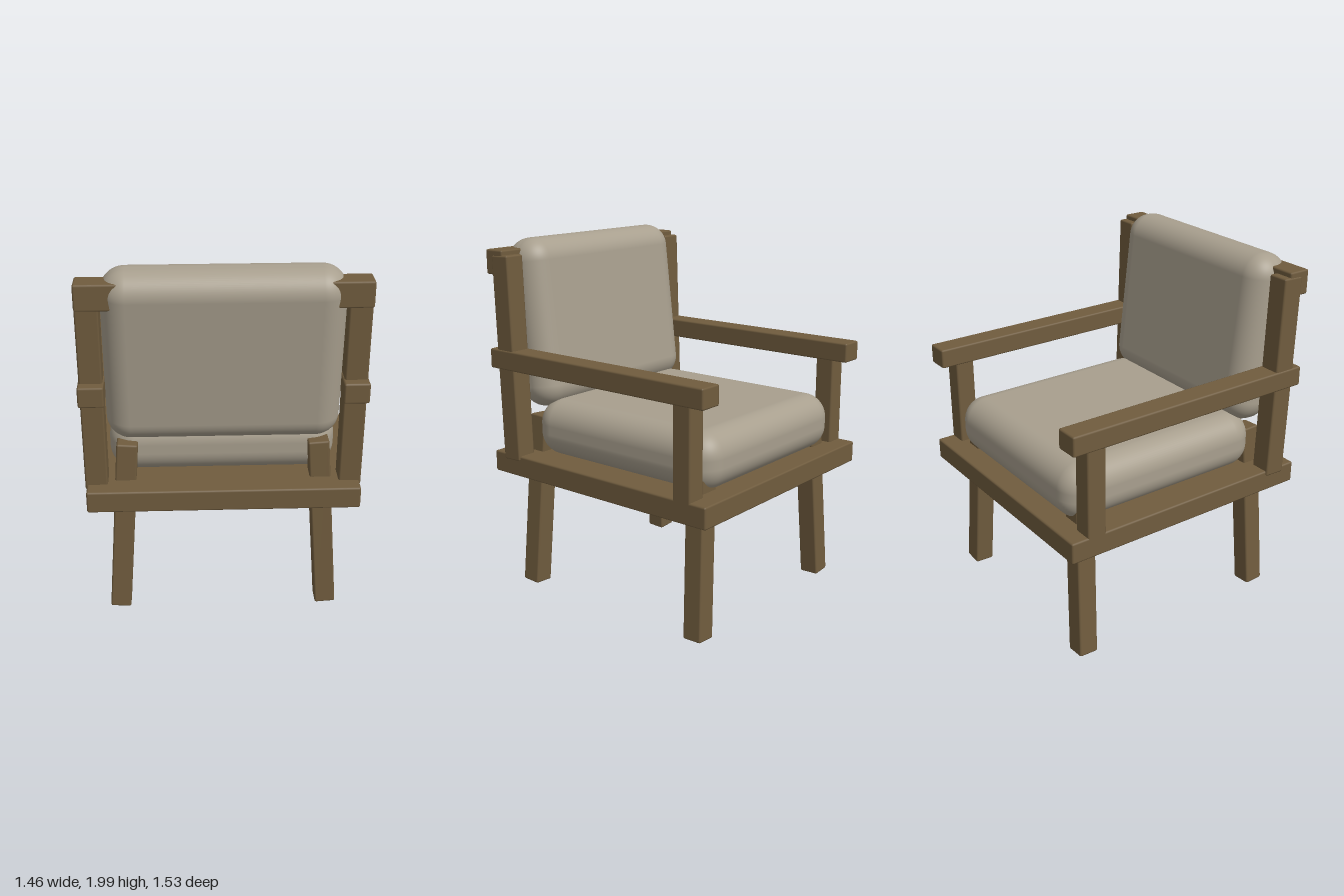
import * as THREE from 'three';
import { RoundedBoxGeometry } from 'three/addons/geometries/RoundedBoxGeometry.js';

export function createModel() {
  const chair = new THREE.Group();
  chair.name = 'armchair';

  const wood = new THREE.MeshStandardMaterial({ color: 0x705c3e });
  wood.name = 'brown wood';
  const fabric = new THREE.MeshStandardMaterial({ color: 0xa89f8e });
  fabric.name = 'beige fabric';

  function add(name, geometry, material, position, tiltX = 0, tiltZ = 0) {
    const mesh = new THREE.Mesh(geometry, material);
    mesh.name = name;
    mesh.position.set(...position);
    mesh.rotation.set(tiltX, 0, tiltZ);
    chair.add(mesh);
    return mesh;
  }
  // Timber with slightly eased edges
  const beam = (w, h, d) => new RoundedBoxGeometry(w, h, d, 1, 0.01);

  // Seat base and the top rail that runs through the back cushion
  add('seatBase', beam(1.43, 0.12, 1.5), wood, [0, 0.75, -0.013]);
  add('topRail', beam(1.44, 0.135, 0.125), wood, [0, 1.88, 0.673]);

  // Parts mirrored on both sides
  for (const [side, s] of [['left', 1], ['right', -1]]) {
    add(side + 'Armrest', beam(0.132, 0.11, 1.48), wood, [s * 0.664, 1.35, -0.015]);
    add(side + 'FrontPost', beam(0.11, 0.52, 0.11), wood, [s * 0.66, 1.05, -0.611]);
    add(side + 'BackPost', beam(0.118, 1.14, 0.12), wood, [s * 0.665, 1.35, 0.61], 0.033);

    // Splayed legs, wider apart at the floor
    for (const [end, e] of [['Front', -1], ['Back', 1]]) {
      const z = e < 0 ? -0.592 : 0.567;
      add(side + end + 'Leg', beam(0.112, 1.005, 0.112), wood,
        [s * 0.535, 0.511, z], e * -0.036, s * 0.069);
    }
  }

  // Soft cushions, the back one leaning rearward
  add('seatCushion', new RoundedBoxGeometry(1.2, 0.32, 1.24, 8, 0.135), fabric, [0, 0.955, -0.07]);
  add('backCushion', new RoundedBoxGeometry(1.2, 0.945, 0.27, 8, 0.125), fabric, [0, 1.527, 0.588], 0.115);

  return chair;
}
